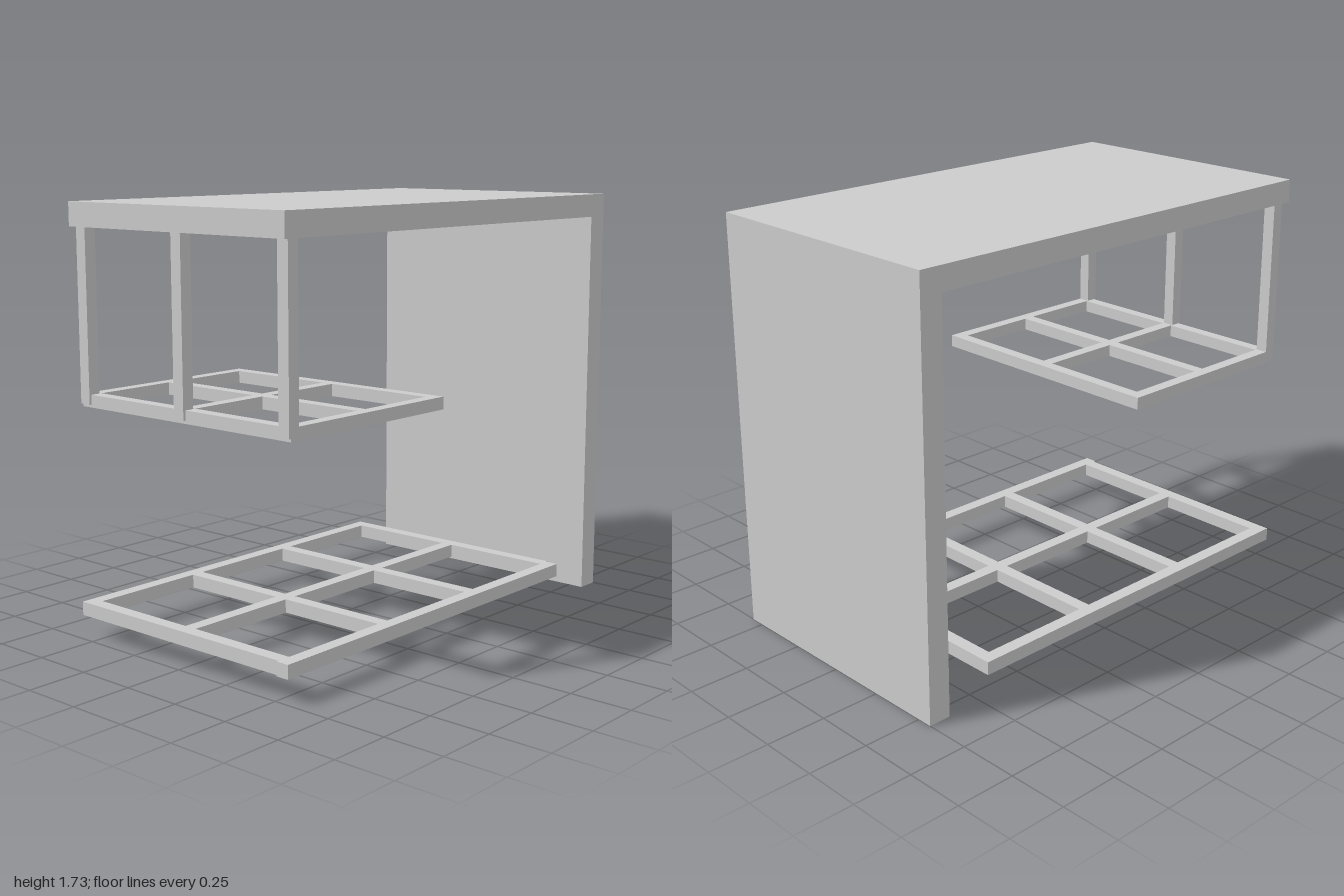
import * as THREE from 'three';

const material = new THREE.MeshStandardMaterial({ color: 0xcccccc, flatShading: true });
const BAR = 0.05;

// Box given by its lower and upper limits on each axis
function block(parent, name, [x0, x1], [y0, y1], [z0, z1]) {
  const mesh = new THREE.Mesh(new THREE.BoxGeometry(x1 - x0, y1 - y0, z1 - z0), material);
  mesh.position.set((x0 + x1) / 2, (y0 + y1) / 2, (z0 + z1) / 2);
  mesh.name = name;
  parent.add(mesh);
}

// Open grid of bars: three long rails and cross bars fitted between them
function gridFrame(name, [x0, x1], y, [z0, z1], cells, bar, frontShift = 0) {
  const frame = new THREE.Group();
  frame.name = name;
  const zc = (z0 + z1) / 2;
  block(frame, 'backRail', [x0, x1], y, [z0, z0 + bar]);
  block(frame, 'middleRail', [x0, x1], y, [zc - bar / 2, zc + bar / 2]);
  block(frame, 'frontRail', [x0 + frontShift, x1 + frontShift], y, [z1 - bar, z1]);
  for (let i = 0; i <= cells; i++) {
    const x = x0 + ((x1 - x0 - bar) * i) / cells;
    block(frame, 'crossBar', [x, x + bar], y, [z0 + bar, zc - bar / 2]);
    block(frame, 'crossBar', [x, x + bar], y, [zc + bar / 2, z1 - bar]);
  }
  return frame;
}

export function createModel() {
  const model = new THREE.Group();
  model.name = 'desk';
  const depth = [-0.563, 0.563];

  // Solid top and side panel
  block(model, 'top', [-1, 1], [1.635, 1.73], depth);
  block(model, 'sidePanel', [0.905, 1], [0, 1.635], depth);

  // Long floor frame, front rail set slightly to the side
  model.add(gridFrame('floorFrame', [-0.99, 0.71], [0.095, 0.15], depth, 3, 0.055, -0.01));

  // Hanging shelf frame and the posts that carry it
  const shelfZ = [-0.54, 0.563];
  model.add(gridFrame('shelfFrame', [-0.975, -0.12], [0.94, 0.99], shelfZ, 2, BAR));
  for (let i = 0; i < 3; i++) {
    const z = shelfZ[0] + ((shelfZ[1] - shelfZ[0] - BAR) * i) / 2;
    block(model, 'post', [-0.985, -0.935], [0.952, 1.635], [z, z + BAR]);
  }
  return model;
}
